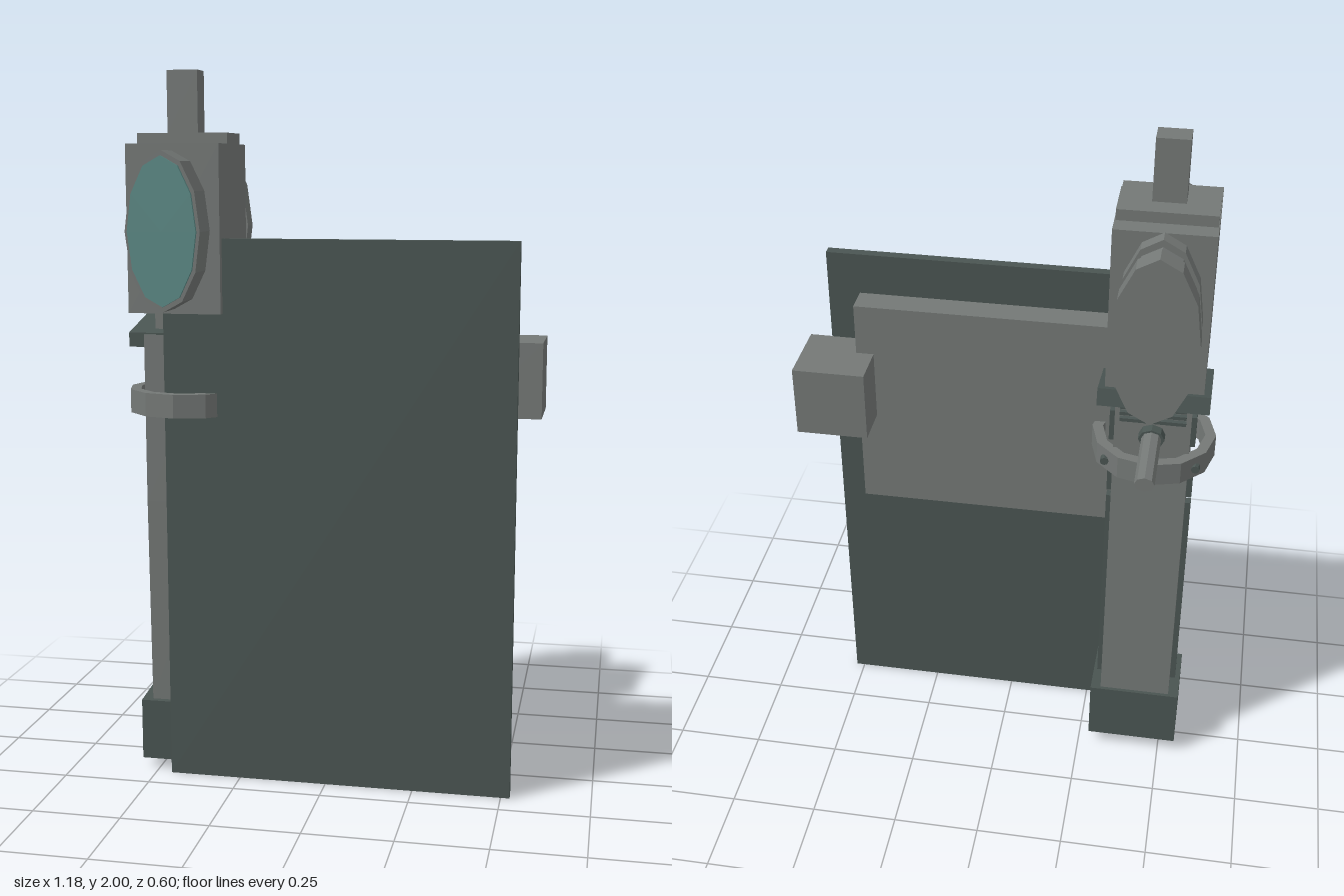
import * as THREE from 'three';

const CX = -0.416; // centre line of the handle and head

export function createModel() {
  const model = new THREE.Group();
  const mat = (name, color, side = THREE.FrontSide) => {
    const m = new THREE.MeshStandardMaterial({ color, flatShading: true, side });
    m.name = name;
    return m;
  };
  const grey = mat('grey metal', 0x747876);
  const dark = mat('dark green grey', 0x4a5552);
  const teal = mat('teal glass', 0x5b8a86);

  const add = (name, geometry, material, parent = model) => {
    const mesh = new THREE.Mesh(geometry, material);
    mesh.name = name;
    parent.add(mesh);
    return mesh;
  };
  // box from its limits on each axis
  const box = (name, m, x0, x1, y0, y1, z0, z1) => {
    const g = new THREE.BoxGeometry(x1 - x0, y1 - y0, z1 - z0);
    g.translate((x0 + x1) / 2, (y0 + y1) / 2, (z0 + z1) / 2);
    return add(name, g, m);
  };
  // side profile of [z, y] points, extruded across x
  const profile = (name, m, x0, x1, points) => {
    const shape = new THREE.Shape(points.map(([z, y]) => new THREE.Vector2(-z, y)));
    const g = new THREE.ExtrudeGeometry(shape, { depth: x1 - x0, bevelEnabled: false });
    g.rotateY(Math.PI / 2).translate(x0, 0, 0);
    return add(name, g, m);
  };
  // oval drum lying along z; r1 scales the front end, r0 the back end
  const drum = (name, m, rx, ry, z0, z1, y = 1.567, r0 = 1, r1 = 1, sides = 12) => {
    const g = new THREE.CylinderGeometry(r1, r0, z1 - z0, sides);
    g.rotateX(Math.PI / 2).scale(rx, ry, 1).translate(CX, y, (z0 + z1) / 2);
    return add(name, g, m);
  };

  // Flat panel, backing plate and side block
  box('panel', dark, -0.455, 0.525, 0, 1.545, 0.143, 0.17);
  box('backingPlate', grey, -0.32, 0.435, 0.78, 1.425, 0.065, 0.144);
  box('sideBlock', grey, 0.385, 0.588, 1.07, 1.275, -0.056, 0.144);

  // Head with cap and post
  box('head', grey, -0.547, -0.285, 1.34, 1.8, -0.097, 0.19);
  box('headCap', grey, -0.545, -0.288, 1.8, 1.83, -0.045, 0.09);
  box('topPost', grey, -0.46, -0.373, 1.83, 2, 0.013, 0.08);

  // Front lens
  drum('lensBarrel', grey, 0.104, 0.214, 0.19, 0.288);
  drum('lensGlass', teal, 0.095, 0.2, 0.288, 0.297);

  // Stepped rear drum
  drum('rearInnerRing', grey, 0.111, 0.235, -0.137, -0.096);
  drum('rearGroove', grey, 0.104, 0.215, -0.19, -0.137);
  drum('rearCover', grey, 0.114, 0.237, -0.245, -0.19);

  // Slightly leaning handle and its foot
  profile('handle', grey, -0.52, -0.312, [
    [0.143, 1.275], [0.143, 0.8], [0.129, 0.2], [-0.071, 0.2], [-0.055, 1.1], [-0.055, 1.275],
  ]);
  profile('foot', dark, -0.55, -0.282, [
    [0.143, 0.205], [0.143, 0.028], [-0.085, 0.045], [-0.082, 0.23],
  ]);

  // Sloping guard under the head
  profile('guard', dark, -0.566, -0.266, [
    [0.135, 1.28], [0.135, 1.24], [-0.055, 1.275], [-0.112, 1.288], [-0.1, 1.335],
  ]);
  box('neck', grey, -0.5, -0.33, 1.27, 1.345, -0.04, 0.1);

  // Rails, latches and screws on both sides of the handle
  for (const s of [-1, 1]) {
    const strip = (name, points, out = 0.12) => {
      const a = CX + s * 0.1, b = CX + s * out;
      profile(name, dark, Math.min(a, b), Math.max(a, b), points);
    };
    strip('longRail', [[0.006, 0.925], [-0.005, 0.265], [-0.033, 0.265], [-0.018, 0.925]]);
    strip('shortRail', [[0.006, 1.05], [0.006, 0.945], [-0.018, 0.945], [-0.018, 1.05]]);
    strip('latch', [[0.01, 1.235], [0.01, 1.125], [-0.05, 1.14], [-0.05, 1.235]], 0.118);
    const screw = new THREE.CylinderGeometry(0.012, 0.012, 0.02, 8);
    screw.rotateX(Math.PI / 2).translate(CX + s * 0.125, 1.085, -0.07);
    add('screw', screw, dark);
  }

  // Twelve-sided collar around the handle
  const ring = (r) => Array.from({ length: 12 }, (_, i) => {
    const a = (i * Math.PI) / 6;
    return new THREE.Vector2(Math.cos(a) * r, Math.sin(a) * r);
  });
  const collarShape = new THREE.Shape(ring(0.173));
  collarShape.holes.push(new THREE.Path(ring(0.143).reverse()));
  const collar = new THREE.ExtrudeGeometry(collarShape, { depth: 0.066, bevelEnabled: false });
  collar.rotateX(-Math.PI / 2).translate(CX, 1.053, 0.046);
  add('collar', collar, grey);

  // Ridged catch and rear lever
  for (let i = 0; i < 3; i++) {
    const y = 1.215 + i * 0.02;
    box('catchRidge', dark, CX - 0.09, CX + 0.09, y, y + 0.01, -0.068, -0.05);
  }
  drum('leverBase', dark, 0.036, 0.03, -0.085, -0.05, 1.175, 1, 1, 8);
  drum('lever', grey, 0.027, 0.021, -0.298, -0.05, 1.178, 1, 1, 8);

  return model;
}
